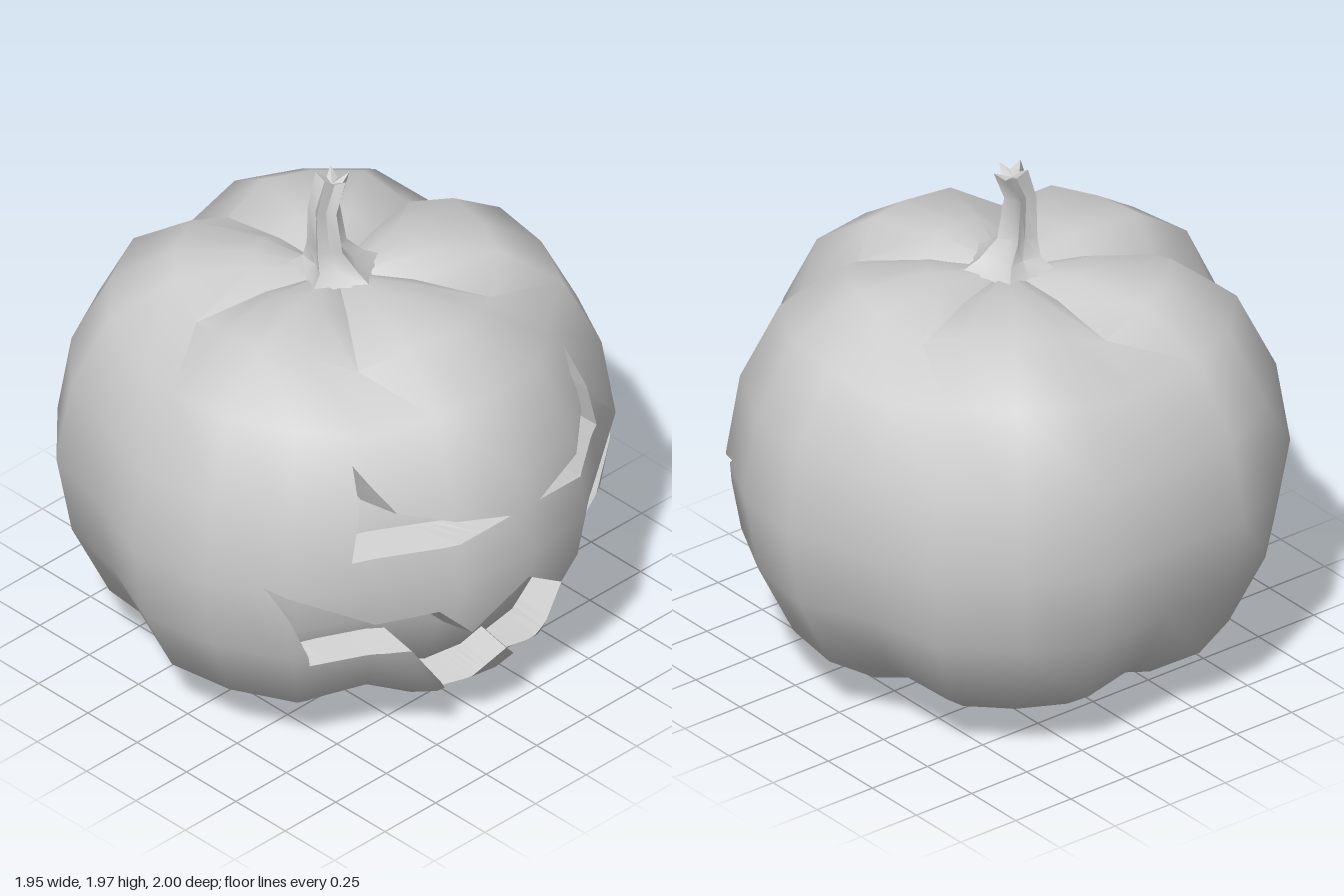
import * as THREE from 'three';
import { toCreasedNormals } from 'three/addons/utils/BufferGeometryUtils.js';

const LOBES = 5, SEG = 4, MID_Y = 0.8, OFFSET_X = -0.018;
// [radius, height] from the underside to the top, on a lobe and in a groove
const lobeProfile = [[0, 0.09], [0.08, 0.05], [0.3, 0.004], [0.6, 0.1], [0.81, 0.24], [0.945, 0.52], [1, 0.83],
  [0.95, 1.14], [0.81, 1.42], [0.58, 1.575], [0.3, 1.595], [0.08, 1.565], [0, 1.54]];
const groovePofile = [[0, 0.09], [0.08, 0.08], [0.28, 0.06], [0.55, 0.15], [0.75, 0.28], [0.885, 0.54], [0.935, 0.83],
  [0.89, 1.12], [0.755, 1.36], [0.55, 1.5], [0.28, 1.545], [0.08, 1.545], [0, 1.54]];

// Carved outlines as [z, y]
const eye = [[0.605, 0.935], [0.525, 1.28], [0.455, 1.115], [0.07, 1.01]];
const mouthHalf = [[0.22, 0.555], [0.353, 0.695], [0.524, 0.647], [0.85, 0.85], [0.684, 0.46], [0.4, 0.5], [0.17, 0.17]];
const mirror = (pts) => pts.map(([z, y]) => [-z, y]).reverse();
const mouth = [[0, 0.72], ...mouthHalf, [0, 0.35], ...mirror(mouthHalf)];
const counterClockwise = (pts) => {
  const v = pts.map((p) => new THREE.Vector2(...p));
  return THREE.ShapeUtils.area(v) < 0 ? v.reverse() : v;
};
const carvings = [eye, mirror(eye), mouth].map(counterClockwise);

function geometryFrom(positions, normals) {
  const g = new THREE.BufferGeometry();
  g.setAttribute('position', new THREE.Float32BufferAttribute(positions, 3));
  if (normals) g.setAttribute('normal', new THREE.Float32BufferAttribute(normals, 3));
  else g.computeVertexNormals();
  return g;
}

// Lobed shell, scaled about the middle of the body
function shell(scale) {
  const n = LOBES * SEG;
  const point = (row, col) => {
    const a = ((col + 0.5 * SEG) / n) * Math.PI * 2;
    const [r, y] = (col % SEG === 0 ? groovePofile : lobeProfile)[row];
    return [OFFSET_X + r * scale * Math.cos(a), MID_Y + (y - MID_Y) * scale, r * scale * Math.sin(a)];
  };
  const pos = [];
  for (let r = 0; r < lobeProfile.length - 1; r++) {
    for (let c = 0; c < n; c++) {
      const a = point(r, c), b = point(r + 1, c), d = point(r + 1, c + 1), e = point(r, c + 1);
      if (r < lobeProfile.length - 2) pos.push(...a, ...b, ...d);
      if (r > 0) pos.push(...a, ...d, ...e);
    }
  }
  return toCreasedNormals(geometryFrom(pos), 0.85);
}

// Triangles as corners [x, y, z, nx, ny, nz]
function trianglesOf(g) {
  const p = g.attributes.position.array, m = g.attributes.normal.array, out = [];
  for (let i = 0; i < p.length; i += 9) {
    out.push([0, 3, 6].map((k) => [...p.slice(i + k, i + k + 3), ...m.slice(i + k, i + k + 3)]));
  }
  return out;
}

// Split a convex polygon by the line a-b in the z-y plane
function split(poly, a, b) {
  const side = (p) => (b.x - a.x) * (p[1] - a.y) - (b.y - a.y) * (p[2] - a.x);
  const inside = [], outside = [];
  poly.forEach((p, i) => {
    const q = poly[(i + 1) % poly.length], sp = side(p), sq = side(q);
    if (sp >= 0) inside.push(p);
    if (sp <= 0) outside.push(p);
    if (sp * sq < 0) {
      const t = sp / (sp - sq), cut = p.map((v, k) => v + (q[k] - v) * t);
      inside.push(cut);
      outside.push(cut);
    }
  });
  return [inside, outside];
}

// Remove the carved shapes from the front (+x) of the shell
function carve(triangles) {
  const cutters = carvings.flatMap((c) => THREE.ShapeUtils.triangulateShape(c, [])
    .map((f) => counterClockwise(f.map((i) => [c[i].x, c[i].y]))));
  const pos = [], nor = [];
  for (const tri of triangles) {
    let pieces = [tri];
    if (tri[0][0] + tri[1][0] + tri[2][0] > 0) {
      for (const cutter of cutters) {
        pieces = pieces.flatMap((piece) => {
          const kept = [];
          let rest = piece;
          for (let i = 0; i < 3 && rest.length > 2; i++) {
            const [inside, outside] = split(rest, cutter[i], cutter[(i + 1) % 3]);
            if (outside.length > 2) kept.push(outside);
            rest = inside;
          }
          return rest.length > 2 ? kept : [piece];
        });
      }
    }
    for (const p of pieces) {
      for (let i = 1; i < p.length - 1; i++) {
        for (const v of [p[0], p[i], p[i + 1]]) {
          pos.push(v[0], v[1], v[2]);
          nor.push(v[3], v[4], v[5]);
        }
      }
    }
  }
  return geometryFrom(pos, nor);
}

// Frontmost x of a shell at (z, y)
function surfaceX(triangles, z, y) {
  let best = 0;
  for (const [a, b, c] of triangles) {
    const det = (b[1] - c[1]) * (a[2] - c[2]) + (c[2] - b[2]) * (a[1] - c[1]);
    if (Math.abs(det) < 1e-9) continue;
    const u = ((b[1] - c[1]) * (z - c[2]) + (c[2] - b[2]) * (y - c[1])) / det;
    const v = ((c[1] - a[1]) * (z - c[2]) + (a[2] - c[2]) * (y - c[1])) / det;
    const w = 1 - u - v;
    if (Math.min(u, v, w) >= -1e-6) best = Math.max(best, u * a[0] + v * b[0] + w * c[0]);
  }
  return best;
}

// Tapered walls from a carved outline back to the inner shell
function carvedWalls(outline, outer, inner) {
  const n = outline.length, steps = 12, pos = [];
  const normal = (i) => {
    const d = outline[(i + 1) % n].clone().sub(outline[i % n]).normalize();
    return new THREE.Vector2(-d.y, d.x);
  };
  const inset = outline.map((p, i) => {
    const n1 = normal(i + n - 1), n2 = normal(i);
    return p.clone().addScaledVector(n1.clone().add(n2), 0.02 / (1 + n1.dot(n2)));
  });
  const at = (pts, tris, i, t) => {
    const p = pts[i].clone().lerp(pts[(i + 1) % n], t);
    return [surfaceX(tris, p.x, p.y), p.y, p.x];
  };
  for (let i = 0; i < n; i++) {
    for (let s = 0; s < steps; s++) {
      const t0 = s / steps, t1 = (s + 1) / steps;
      const a = at(outline, outer, i, t0), b = at(outline, outer, i, t1);
      const c = at(inset, inner, i, t1), d = at(inset, inner, i, t0);
      pos.push(...a, ...b, ...c, ...a, ...c, ...d);
    }
  }
  return geometryFrom(pos);
}

// Bent stem with a five-pointed section and a jagged end
function stemGeometry() {
  // [y, x, z, point radius, valley radius]
  const rings = [[1.565, -0.015, 0, 0.185, 0.125], [1.61, -0.015, 0.01, 0.115, 0.075], [1.68, -0.025, 0.035, 0.075, 0.045],
    [1.84, -0.03, 0.045, 0.06, 0.035], [1.95, -0.03, 0.002, 0.064, 0.034], [1.925, -0.03, 0.01, 0, 0]];
  const point = (r, c) => {
    const [y, x, z, tip, valley] = rings[r], a = (c / 10) * Math.PI * 2, rad = c % 2 ? valley : tip;
    const jag = r === 4 ? (c % 2 ? -0.015 : 0.012) + Math.sin(a) * 0.008 : 0;
    return [x + rad * Math.cos(a), y + jag, z + rad * Math.sin(a)];
  };
  const pos = [];
  for (let r = 0; r < rings.length - 1; r++) {
    for (let c = 0; c < 10; c++) {
      const a = point(r, c), b = point(r + 1, c), d = point(r + 1, c + 1), e = point(r, c + 1);
      pos.push(...a, ...b, ...d, ...a, ...d, ...e);
    }
  }
  return toCreasedNormals(geometryFrom(pos), 0.7);
}

export function createModel() {
  const group = new THREE.Group();
  group.name = 'carvedPumpkin';
  const solid = new THREE.MeshStandardMaterial({ color: 0xcccccc });
  const thin = new THREE.MeshStandardMaterial({ color: 0xcccccc, side: THREE.DoubleSide });
  const add = (name, geometry, material) => {
    const mesh = new THREE.Mesh(geometry, material);
    mesh.name = name;
    group.add(mesh);
  };
  const innerShell = shell(0.87);
  const outer = trianglesOf(shell(1)), inner = trianglesOf(innerShell);
  add('body', carve(outer), solid);
  add('innerBody', innerShell, solid);
  ['leftEyeWalls', 'rightEyeWalls', 'mouthWalls'].forEach((name, i) => add(name, carvedWalls(carvings[i], outer, inner), thin));
  add('stem', stemGeometry(), solid);
  return group;
}
